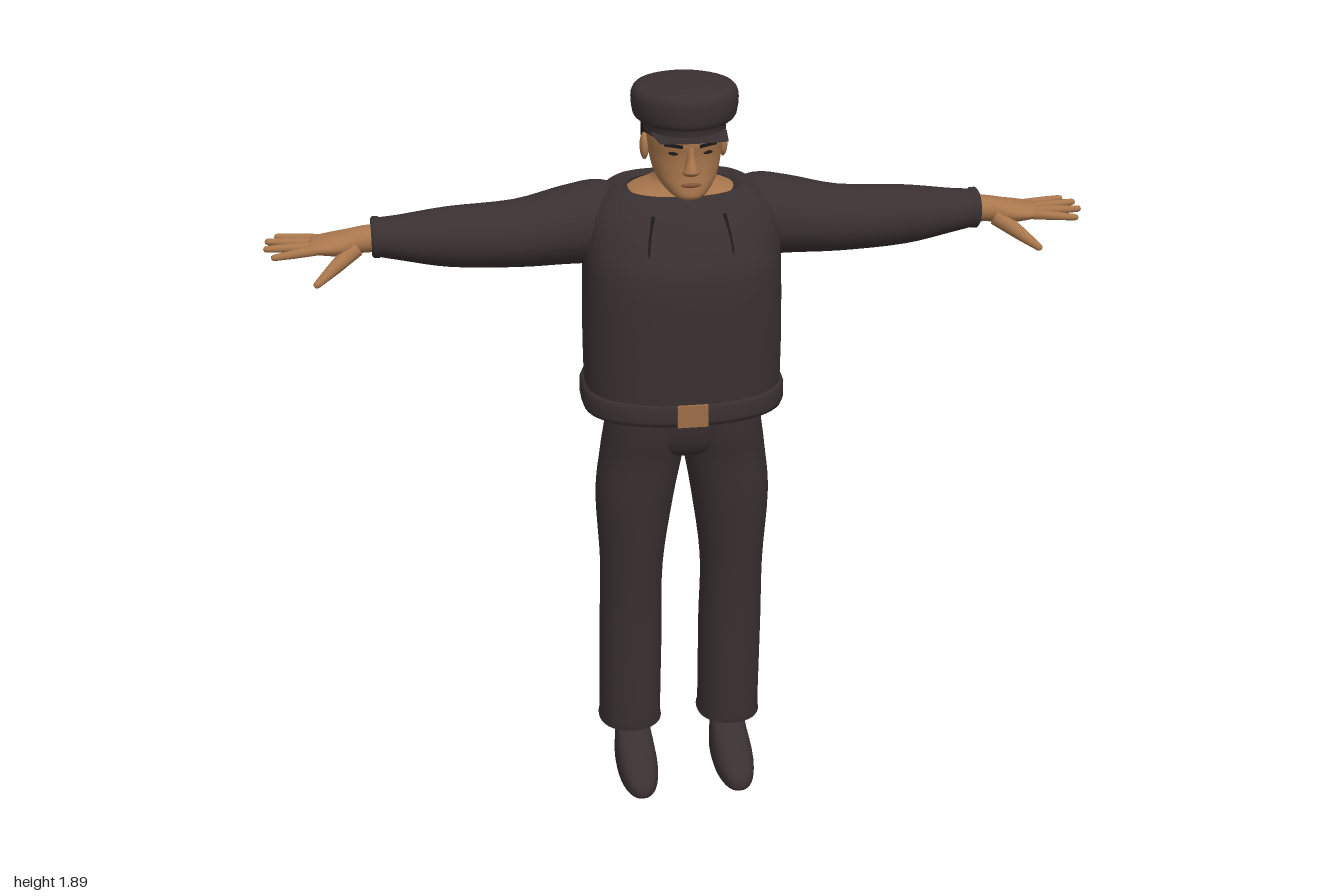
import * as THREE from 'three';

const mat = (name, color, double) => {
  const m = new THREE.MeshStandardMaterial({ color });
  m.name = name;
  if (double) m.side = THREE.DoubleSide;
  return m;
};

// Smooth interpolation between profile rows
function refine(rows, sub) {
  if (sub < 2) return rows;
  const out = [], at = i => rows[Math.max(0, Math.min(rows.length - 1, i))];
  for (let i = 0; i < rows.length - 1; i++) {
    for (let k = 0; k < sub; k++) {
      const t = k / sub, t2 = t * t, t3 = t2 * t;
      out.push(rows[i].map((b, c) => {
        const a = at(i - 1)[c], d = at(i + 1)[c], e = at(i + 2)[c];
        return 0.5 * (2 * b + (d - a) * t + (2 * a - 5 * b + 4 * d - e) * t2 + (3 * b - a - 3 * d + e) * t3);
      }));
    }
  }
  out.push(rows[rows.length - 1]);
  return out;
}

// Skin a series of closed rings; place(row, cos, sin) returns a point
function loft(rows, place, { sub = 4, seg = 36, capped = true } = {}) {
  const pos = [], idx = [], rings = refine(rows, sub);
  const ring = r => {
    const start = pos.length / 3;
    for (let j = 0; j < seg; j++) {
      const t = (j / seg) * Math.PI * 2;
      pos.push(...place(r, Math.cos(t), Math.sin(t)));
    }
    return start;
  };
  rings.forEach(ring);
  for (let i = 0; i < rings.length - 1; i++) {
    for (let j = 0; j < seg; j++) {
      const a = i * seg + j, b = i * seg + (j + 1) % seg;
      idx.push(a, a + seg, b, b, a + seg, b + seg);
    }
  }
  if (capped) [rings[0], rings[rings.length - 1]].forEach((r, end) => {
    const s = ring(r), p = place(r, 1, 0), q = place(r, -1, 0), c = pos.length / 3;
    pos.push(...p.map((v, k) => (v + q[k]) / 2));
    for (let j = 0; j < seg; j++) {
      const a = s + j, b = s + (j + 1) % seg;
      idx.push(c, ...(end ? [b, a] : [a, b]));
    }
  });
  const g = new THREE.BufferGeometry();
  g.setAttribute('position', new THREE.Float32BufferAttribute(pos, 3));
  g.setIndex(idx);
  g.computeVertexNormals();
  return g;
}

const pw = (v, p) => Math.sign(v) * Math.abs(v) ** p;
// Upright ring: [y, centre x, half width, front z, back z], squareness front and back
const upright = (pf = 1, pb = 1) => ([y, cx, rx, zf, zb], c, s) => {
  const p = s > 0 ? pf : pb;
  return [cx + rx * pw(c, p), y, (zf + zb) / 2 + (zf - zb) / 2 * pw(s, p)];
};
// Sideways ring: [x, centre y, centre z, half height, half depth]
const sideways = ([x, y, z, ry, rz], c, s) => [x, y + ry * s, z + rz * c];

// Tapered round rod between two points
function rod(a, b, ra, rb) {
  const A = new THREE.Vector3(...a), B = new THREE.Vector3(...b), d = B.clone().sub(A), h = d.length();
  const pts = [[0, 0], [ra, 0], [(ra + rb) / 2 * 1.05, h / 2], [rb, h - rb], [rb * 0.7, h - rb * 0.3], [0, h]];
  const g = new THREE.LatheGeometry(pts.map(p => new THREE.Vector2(...p)), 10);
  g.applyQuaternion(new THREE.Quaternion().setFromUnitVectors(new THREE.Vector3(0, 1, 0), d.normalize()));
  return g.translate(...a);
}
const blob = (x, y, z, rx, ry, rz) => new THREE.SphereGeometry(1, 16, 12).scale(rx, ry, rz).translate(x, y, z);

function mirrored(g) {
  const m = g.clone().scale(-1, 1, 1), ix = m.index.array;
  for (let i = 0; i < ix.length; i += 3) [ix[i], ix[i + 1]] = [ix[i + 1], ix[i]];
  return m;
}

export function createModel() {
  const model = new THREE.Group();
  model.name = 'standingMan';
  const cloth = mat('dark cloth', 0x3a3031, true), skin = mat('skin', 0xa9774d);
  const hair = mat('dark hair', 0x1d1817, true), seam = mat('seam', 0x221c1c);
  const brass = mat('buckle', 0x9c6d48), lip = mat('lips', 0x83543a);
  const add = (name, geo, m) => {
    const mesh = new THREE.Mesh(geo, m);
    mesh.name = name;
    model.add(mesh);
  };
  const pair = (name, geo, m) => {
    add('left' + name, geo, m);
    add('right' + name, mirrored(geo), m);
  };

  // Jacket, open at hem and neck
  add('jacket', loft([
    [1.07, 0, 0.242, 0.16, -0.18], [1.13, 0, 0.242, 0.163, -0.18], [1.25, 0, 0.243, 0.168, -0.184],
    [1.42, 0, 0.24, 0.171, -0.19], [1.5, 0, 0.235, 0.147, -0.188], [1.56, 0, 0.22, 0.118, -0.178],
    [1.6, 0, 0.185, 0.092, -0.165], [1.618, 0, 0.15, 0.078, -0.152], [1.606, 0, 0.125, 0.065, -0.14],
  ], upright(0.85, 0.58), { capped: false, seg: 48 }), cloth);
  add('waistband', loft([
    [1.06, 0, 0.238, 0.152, -0.176], [1.06, 0, 0.248, 0.162, -0.188], [1.072, 0, 0.252, 0.166, -0.191],
    [1.105, 0, 0.252, 0.166, -0.191], [1.117, 0, 0.247, 0.162, -0.187], [1.12, 0, 0.238, 0.155, -0.176],
  ], upright(0.85, 0.58), { sub: 1, capped: false, seg: 48 }), cloth);
  add('buckle', new THREE.BoxGeometry(0.075, 0.056, 0.009).translate(0, 1.089, 0.167), brass);
  pair('FrontSeam', new THREE.TubeGeometry(new THREE.CatmullRomCurve3([
    [0.085, 1.58, 0.1], [0.1, 1.5, 0.134], [0.092, 1.4, 0.157], [0.07, 1.25, 0.16], [0.085, 1.13, 0.151],
  ].map(p => new THREE.Vector3(...p))), 24, 0.004, 6), seam);

  // Sleeves
  pair('Sleeve', loft([
    [0.1, 1.5, -0.075, 0.085, 0.09], [0.19, 1.515, -0.075, 0.1, 0.108], [0.28, 1.508, -0.078, 0.094, 0.104],
    [0.4, 1.495, -0.072, 0.081, 0.091], [0.56, 1.497, -0.065, 0.073, 0.073], [0.68, 1.503, -0.06, 0.054, 0.057],
    [0.735, 1.508, -0.057, 0.046, 0.05],
  ], sideways), cloth);
  pair('Cuff', loft([
    [0.722, 1.508, -0.057, 0.045, 0.048], [0.728, 1.508, -0.057, 0.05, 0.053],
    [0.74, 1.508, -0.057, 0.05, 0.053], [0.745, 1.508, -0.057, 0.044, 0.047],
  ], sideways, { sub: 1 }), cloth);

  // Hands
  pair('Palm', loft([
    [0.72, 1.507, -0.055, 0.034, 0.036], [0.765, 1.507, -0.05, 0.032, 0.038], [0.81, 1.503, -0.043, 0.029, 0.049],
    [0.85, 1.502, -0.04, 0.023, 0.053], [0.885, 1.502, -0.04, 0.015, 0.049], [0.895, 1.502, -0.04, 0.006, 0.04],
  ], sideways, { seg: 20 }), skin);
  [
    [-0.078, 0.975, -0.098, 1.507], [-0.053, 0.997, -0.062, 1.508],
    [-0.027, 1.0, -0.02, 1.504], [-0.003, 0.982, 0.022, 1.496],
  ].forEach(([z0, x, z1, y], i) => pair('Finger' + (i + 1), rod([0.87, 1.502, z0], [x, y, z1], 0.013, 0.008), skin));
  pair('Thumb', rod([0.785, 1.495, -0.02], [0.885, 1.428, 0.05], 0.023, 0.009), skin);

  // Trousers
  pair('TrouserLeg', loft([
    [0.118, 0.132, 0.083, 0.015, -0.177], [0.16, 0.132, 0.08, 0.02, -0.168], [0.4, 0.131, 0.081, 0.036, -0.137],
    [0.6, 0.13, 0.08, 0.06, -0.116], [0.8, 0.122, 0.098, 0.09, -0.125], [0.93, 0.104, 0.103, 0.107, -0.126],
    [1.0, 0.095, 0.102, 0.122, -0.125], [1.1, 0.085, 0.097, 0.135, -0.12],
  ], upright(0.9, 0.9)), cloth);
  add('trouserSeat', loft([
    [0.925, 0, 0.02, 0.03, -0.05], [0.95, 0, 0.1, 0.09, -0.1], [1.0, 0, 0.17, 0.119, -0.122],
    [1.1, 0, 0.178, 0.136, -0.122],
  ], upright(0.85, 0.85)), cloth);

  // Shoes
  pair('Shoe', loft([
    [0, 0.128, 0.046, 0.162, -0.128], [0.012, 0.128, 0.052, 0.17, -0.133], [0.04, 0.128, 0.053, 0.162, -0.133],
    [0.065, 0.128, 0.05, 0.115, -0.13], [0.09, 0.128, 0.046, 0.04, -0.13], [0.115, 0.13, 0.045, -0.01, -0.132],
    [0.2, 0.13, 0.042, -0.03, -0.128],
  ], upright(0.85, 0.85)), cloth);

  // Neck and head
  add('neck', loft([
    [1.585, 0, 0.145, 0.07, -0.155], [1.607, 0, 0.13, 0.06, -0.143], [1.625, 0, 0.09, 0.05, -0.115],
    [1.65, 0, 0.065, 0.045, -0.09], [1.72, 0, 0.062, 0.045, -0.08],
  ], upright()), skin);
  add('head', loft([
    [1.624, 0, 0.022, 0.122, 0.065], [1.634, 0, 0.043, 0.134, 0.025], [1.66, 0, 0.067, 0.133, -0.03],
    [1.69, 0, 0.08, 0.13, -0.065], [1.73, 0, 0.087, 0.131, -0.08], [1.765, 0, 0.09, 0.138, -0.083],
    [1.81, 0, 0.088, 0.132, -0.08],
  ], upright(0.9, 0.95)), skin);
  add('hair', loft([
    [1.675, 0, 0.06, -0.045, -0.08], [1.7, 0, 0.08, -0.02, -0.088], [1.74, 0, 0.096, 0.02, -0.091],
    [1.8, 0, 0.097, 0.06, -0.088],
  ], upright()), hair);
  pair('Ear', blob(0.094, 1.728, 0.012, 0.011, 0.033, 0.02), skin);

  // Face
  add('nose', loft([
    [1.688, 0, 0.016, 0.142, 0.11], [1.697, 0, 0.021, 0.158, 0.11], [1.706, 0, 0.017, 0.159, 0.11],
    [1.73, 0, 0.011, 0.146, 0.11], [1.758, 0, 0.01, 0.138, 0.11],
  ], upright(), { seg: 14 }), skin);
  pair('Eye', blob(0.036, 1.741, 0.121, 0.016, 0.005, 0.008), hair);
  pair('Brow', new THREE.BoxGeometry(0.044, 0.008, 0.008).rotateZ(0.1).rotateY(0.3).translate(0.04, 1.761, 0.127), hair);
  add('mouth', blob(0, 1.664, 0.131, 0.024, 0.006, 0.007), lip);

  // Flat dark point at the nape
  const nape = new THREE.Shape([[-0.05, 0.137], [0, 0.162], [0.05, 0.137], [0.02, 0.135], [0, 0.115], [-0.02, 0.135]]
    .map(p => new THREE.Vector2(...p)));
  add('napePoint', new THREE.ShapeGeometry(nape).rotateX(-Math.PI / 2).rotateX(-0.45).translate(0, 1.56, -0.012), cloth);

  // Cap with flat peak
  add('cap', loft([
    [1.772, 0, 0.097, 0.143, -0.09], [1.798, 0, 0.099, 0.145, -0.093], [1.802, 0, 0.113, 0.15, -0.1],
    [1.815, 0, 0.123, 0.157, -0.105], [1.85, 0, 0.127, 0.16, -0.106], [1.872, 0, 0.122, 0.155, -0.1],
    [1.881, 0, 0.105, 0.138, -0.084], [1.885, 0, 0.06, 0.09, -0.035], [1.885, 0, 0.01, 0.037, 0.017],
  ], upright(), { sub: 2 }), cloth);
  const peak = new THREE.Shape();
  peak.moveTo(-0.09, -0.09);
  peak.lineTo(0.09, -0.09);
  peak.lineTo(0.08, -0.182);
  peak.quadraticCurveTo(0, -0.198, -0.08, -0.182);
  add('capPeak', new THREE.ShapeGeometry(peak).rotateX(-Math.PI / 2).translate(0, 1.783, 0), cloth);

  return model;
}
